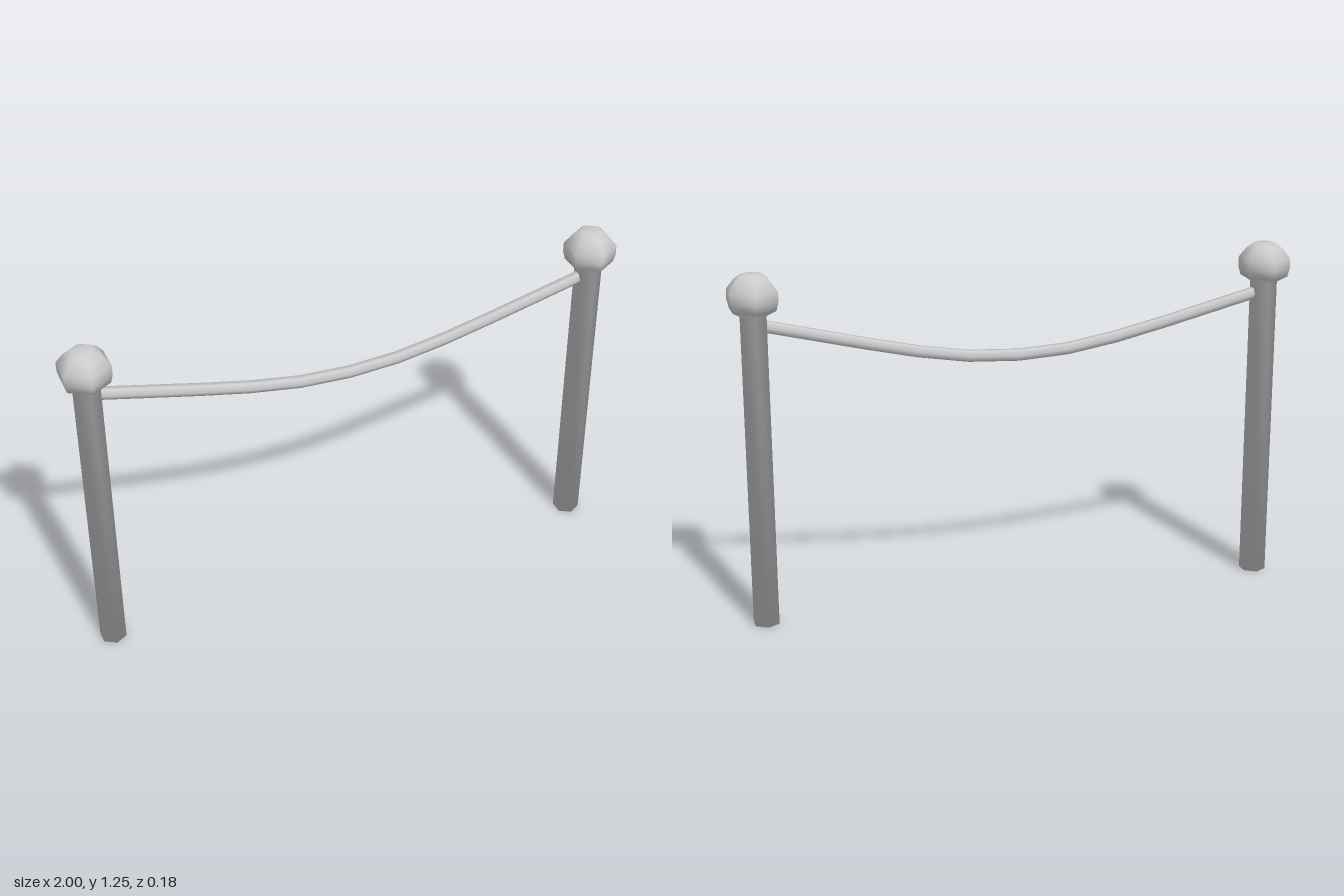
import * as THREE from 'three';

const material = new THREE.MeshStandardMaterial({ color: 0xcccccc, side: THREE.DoubleSide });

// Turned six-sided post with a ball finial: [radius, height] from the foot up
const profile = [
  [0, 0], [0.048, 0], [0.048, 1.105], [0.084, 1.125], [0.092, 1.155],
  [0.092, 1.19], [0.065, 1.225], [0.038, 1.245], [0, 1.245],
].map(([r, y]) => new THREE.Vector2(r, y));

function postGeometry() {
  const geometry = new THREE.LatheGeometry(profile, 6);
  // Soft shading: each ring's normal is the even average of its two profile edges
  const edges = profile.slice(1).map((p, i) => {
    const d = p.clone().sub(profile[i]).normalize();
    return new THREE.Vector2(d.y, -d.x);
  });
  const normal = geometry.attributes.normal;
  for (let i = 0; i < normal.count; i++) {
    const ring = i % profile.length;
    const angle = Math.floor(i / profile.length) * Math.PI / 3;
    const below = edges[Math.max(ring - 1, 0)];
    const above = edges[Math.min(ring, edges.length - 1)];
    const n = below.clone().add(above).normalize();
    normal.setXYZ(i, n.x * Math.sin(angle), n.y, n.x * Math.cos(angle));
  }
  return geometry;
}

export function createModel() {
  const model = new THREE.Group();
  model.name = 'ropeBarrier';

  // Mirrored pair of posts
  const geometry = postGeometry();
  for (const side of [-1, 1]) {
    const post = new THREE.Mesh(geometry, material);
    post.name = side > 0 ? 'leftPost' : 'rightPost';
    post.position.x = side * 0.92;
    model.add(post);
  }

  // Sagging rope between the posts
  const half = [[0.2, 0.912], [0.4, 0.948], [0.64, 1.005], [0.885, 1.065]];
  const points = [
    ...half.map(([x, y]) => new THREE.Vector3(-x, y, 0)).reverse(),
    new THREE.Vector3(0, 0.9, 0),
    ...half.map(([x, y]) => new THREE.Vector3(x, y, 0)),
  ];
  const curve = new THREE.CatmullRomCurve3(points);
  const rope = new THREE.Mesh(new THREE.TubeGeometry(curve, 10, 0.022, 6), material);
  rope.name = 'rope';
  model.add(rope);

  return model;
}
